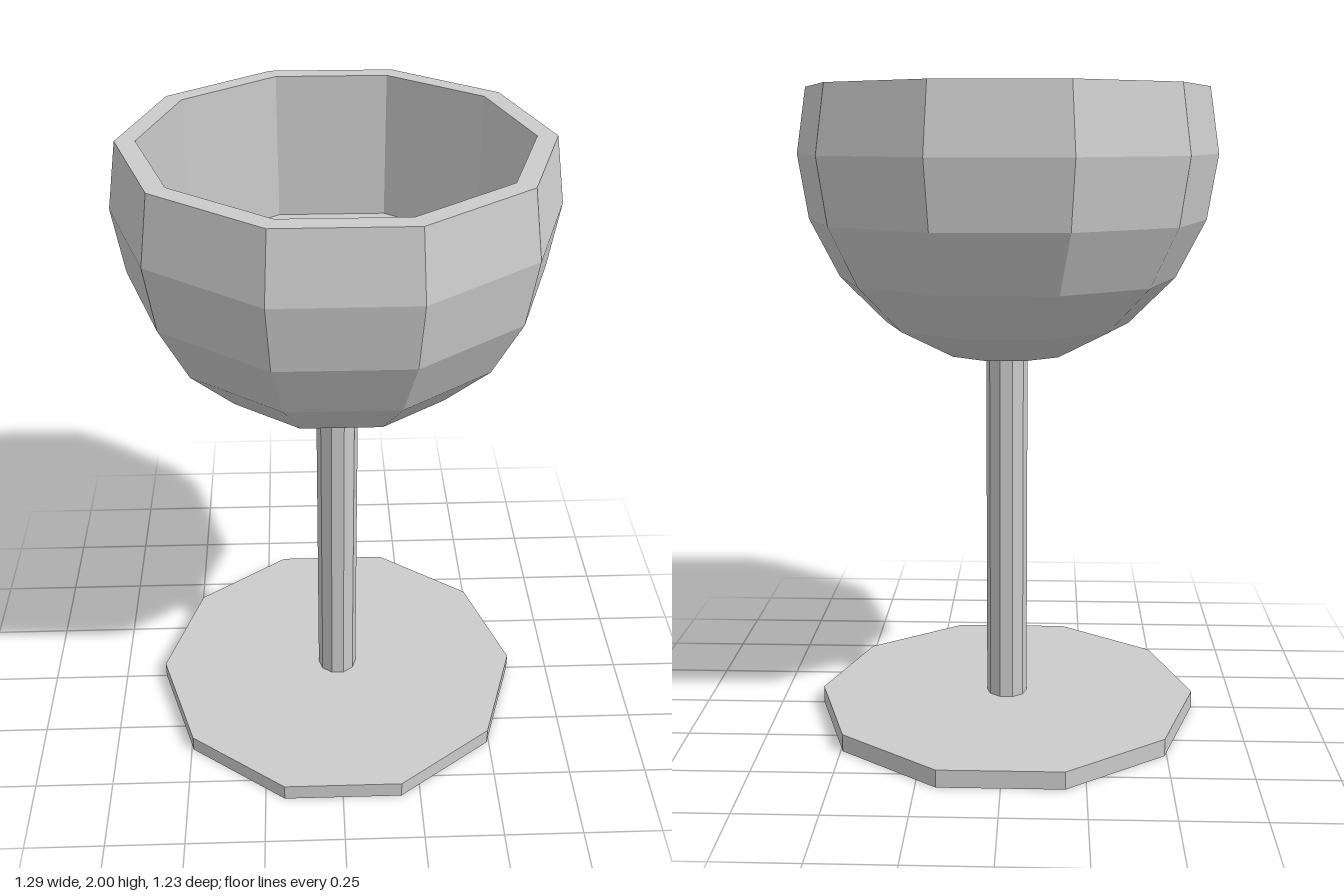
import * as THREE from 'three';

const SIDES = 10;
const START = Math.PI / 2; // puts a corner on the x axis

export function createModel() {
  const group = new THREE.Group();
  group.name = 'goblet';
  const material = new THREE.MeshStandardMaterial({ color: 0xcccccc, flatShading: true });

  const add = (name, geometry, y = 0) => {
    const mesh = new THREE.Mesh(geometry, material);
    mesh.name = name;
    mesh.position.y = y;
    group.add(mesh);
  };

  // A ten-sided prism standing between two heights
  const prism = (radius, y0, y1) => [
    new THREE.CylinderGeometry(radius, radius, y1 - y0, SIDES, 1, false, START),
    (y0 + y1) / 2,
  ];

  add('foot', ...prism(0.61, 0, 0.055));
  add('stem', ...prism(0.065, 0.05, 1.18));

  // Bowl: truncated sphere outside, straight-walled hollow with a flat floor inside
  const radius = 0.645, centreY = 1.8;
  const profile = [];
  for (let i = 0; i <= 6; i++) {
    const a = (-90 + i * 18) * Math.PI / 180;
    profile.push(new THREE.Vector2(Math.max(0, radius * Math.cos(a)), centreY + 0.64 * Math.sin(a)));
  }
  profile[6].y = 2;
  profile.push(
    new THREE.Vector2(0.555, 2),
    new THREE.Vector2(0.555, 1.54),
    new THREE.Vector2(0, 1.54),
  );
  add('bowl', new THREE.LatheGeometry(profile, SIDES, START));

  return group;
}
